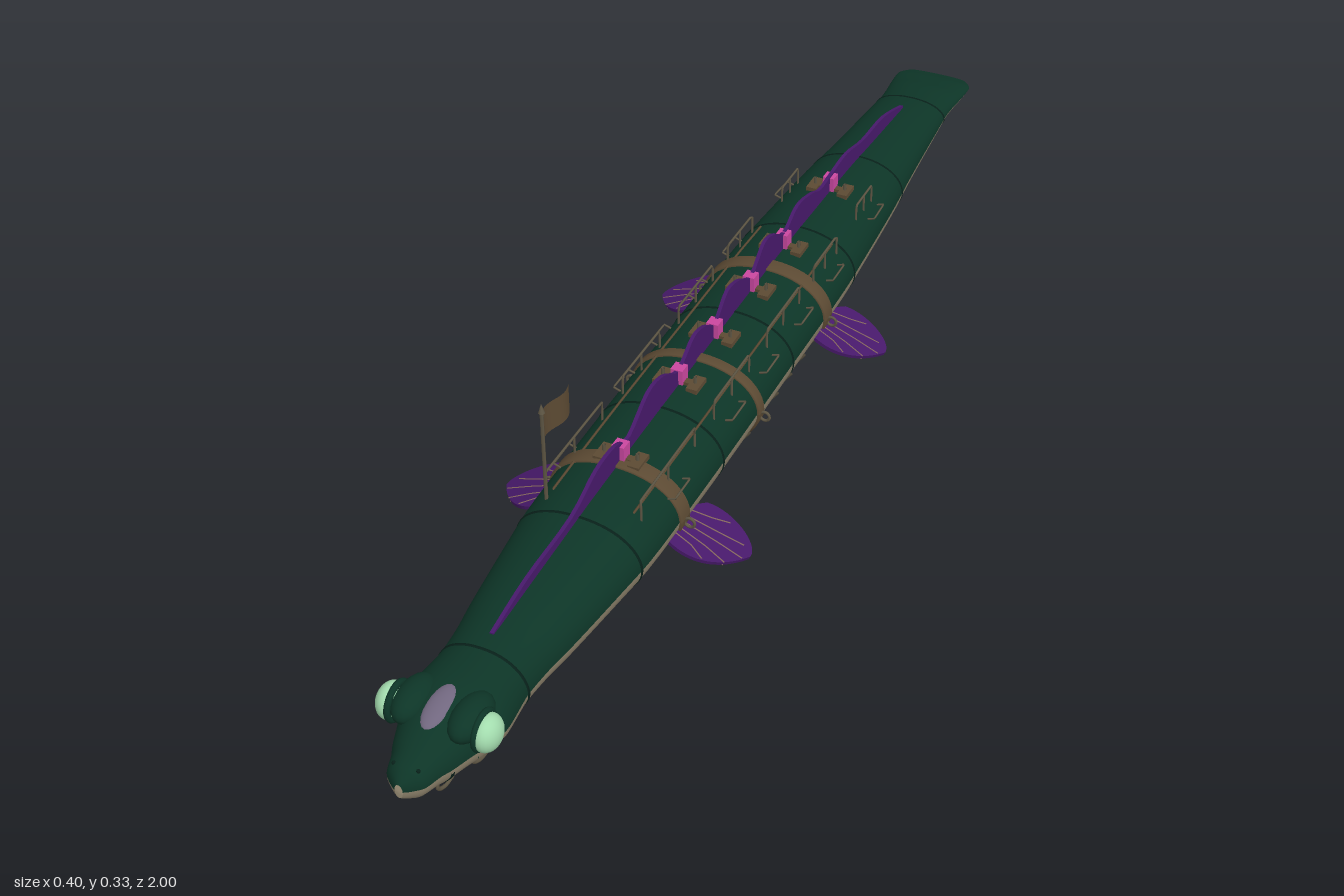
import * as THREE from 'three';

const mat = (name, color) => {
  const m = new THREE.MeshStandardMaterial({ color, side: THREE.DoubleSide });
  m.name = name;
  return m;
};
const M = {
  green: mat('deepGreen', 0x0d3527), belly: mat('bellyTan', 0x8a7f69), seam: mat('seamDark', 0x08211a),
  strap: mat('strapBrown', 0x5c4a33), metal: mat('agedMetal', 0x5e5644), purple: mat('finPurple', 0x47196a),
  pink: mat('pink', 0xc9479f), eye: mat('paleEye', 0xa3dcae), grey: mat('greyViolet', 0x71677f), ray: mat('rayTan', 0x8a6a62),
};
const V = (x, y, z) => new THREE.Vector3(x, y, z);

// Body stations: z, half width, top, bottom
const stations = [
  [1.0, 0.006, 0.118, 0.095], [0.985, 0.026, 0.132, 0.083], [0.95, 0.04, 0.143, 0.074], [0.9, 0.06, 0.16, 0.068],
  [0.85, 0.074, 0.166, 0.064], [0.78, 0.069, 0.163, 0.062], [0.7, 0.077, 0.164, 0.058], [0.5, 0.1, 0.173, 0.048],
  [0.3, 0.105, 0.177, 0.042], [0, 0.105, 0.178, 0.04], [-0.3, 0.103, 0.176, 0.044], [-0.58, 0.086, 0.162, 0.058],
  [-0.85, 0.067, 0.138, 0.082], [-0.93, 0.07, 0.127, 0.093], [-0.98, 0.071, 0.117, 0.102], [-1.0, 0.055, 0.111, 0.106],
];
const SPLIT = 0.107;
const sizeCurve = new THREE.CatmullRomCurve3(stations.map(s => V(s[1], s[2], s[3])), false, 'catmullrom');
const zCurve = new THREE.CatmullRomCurve3(stations.map(s => V(0, 0, s[0])), false, 'catmullrom', 0.3);

function sectionAt(z) {
  let a = 0, b = 1;
  for (let i = 0; i < 30; i++) {
    const m = (a + b) / 2;
    if (zCurve.getPoint(m).z > z) a = m; else b = m;
  }
  return sizeCurve.getPoint((a + b) / 2);
}
function skin(z, t, off = 0) {
  const s = sectionAt(z), c = Math.cos(t), n = Math.sin(t);
  const h = n >= 0 ? s.y - SPLIT : SPLIT - s.z;
  return V(Math.sign(c) * Math.abs(c) ** 0.9 * (s.x + off), SPLIT + n * (h + off), z);
}
// Lofts rings of [z, offset] over an angle range
function loft(rings, t0, t1, seg = 28) {
  const pos = [], idx = [], w = seg + 1;
  rings.forEach(([z, off], i) => {
    for (let j = 0; j <= seg; j++) {
      pos.push(...skin(z, t0 + (t1 - t0) * j / seg, off).toArray());
      if (i && j) {
        const d = i * w + j, c = d - 1, b = d - w, a = b - 1;
        idx.push(a, c, b, b, c, d);
      }
    }
  });
  const g = new THREE.BufferGeometry();
  g.setAttribute('position', new THREE.Float32BufferAttribute(pos, 3));
  g.setIndex(idx);
  g.computeVertexNormals();
  return g;
}

export function createModel() {
  const root = new THREE.Group();
  root.name = 'serpentVessel';
  const add = (name, geo, m, parent = root) => {
    const o = new THREE.Mesh(geo, m);
    o.name = name;
    parent.add(o);
    return o;
  };
  const rod = (name, pts, r, m = M.metal, parent = root) => {
    const path = new THREE.CurvePath();
    for (let i = 1; i < pts.length; i++) path.add(new THREE.LineCurve3(pts[i - 1], pts[i]));
    return add(name, new THREE.TubeGeometry(path, (pts.length - 1) * 6, r, 5), m, parent);
  };
  const box = (name, w, h, d, x, y, z, m) => add(name, new THREE.BoxGeometry(w, h, d), m).position.set(x, y, z);

  // Green back and tan belly
  const rings = [];
  for (let i = 0; i <= 90; i++) rings.push([zCurve.getPoint(i / 90).z, 0]);
  add('back', loft(rings, 0, Math.PI), M.green);
  add('belly', loft(rings, Math.PI, 2 * Math.PI), M.belly);

  // Plate seams and straps
  const band = (name, z, h, off, m, a = 0, b = 2 * Math.PI) =>
    add(name, loft([[z + h, -0.001], [z + h, off], [z - h, off], [z - h, -0.001]], a, b, 48), m);
  for (const z of [0.78, 0.5, 0.23, -0.04, -0.31, -0.58, -0.85]) band('seam', z, 0.002, 0.001, M.seam);
  for (const [z, h] of [[0.37, 0.014], [0.095, 0.009], [-0.18, 0.014]]) {
    band('strap', z, h, 0.004, M.strap);
    for (const s of [-1, 1])
      add('strapRing', new THREE.TorusGeometry(0.008, 0.0025, 6, 14), M.metal).position.set(s * 0.114, 0.1, z);
  }

  // Scalloped dorsal fin
  const crest = [[0.75, 0.165], [0.65, 0.181], [0.52, 0.186], [0.44, 0.212], [0.38, 0.213], [0.335, 0.198], [0.27, 0.232], [0.22, 0.229],
    [0.165, 0.202], [0.11, 0.228], [0.07, 0.222], [0.03, 0.202], [-0.015, 0.233], [-0.06, 0.226], [-0.11, 0.203], [-0.16, 0.235],
    [-0.2, 0.228], [-0.245, 0.204], [-0.3, 0.224], [-0.36, 0.213], [-0.4, 0.198], [-0.45, 0.2], [-0.52, 0.202], [-0.6, 0.185], [-0.7, 0.178], [-0.8, 0.148]];
  const crestShape = new THREE.Shape([new THREE.Vector2(0.75, 0.15)]
    .concat(new THREE.SplineCurve(crest.map(p => new THREE.Vector2(...p))).getPoints(100), new THREE.Vector2(-0.8, 0.13)));
  const crestGeo = new THREE.ExtrudeGeometry(crestShape, { depth: 0.006, bevelEnabled: false });
  add('dorsalFin', crestGeo.translate(0, 0, -0.003).rotateY(-Math.PI / 2), M.purple);

  // Side fins with rays
  const finShape = new THREE.Shape();
  finShape.moveTo(0, -0.05);
  finShape.bezierCurveTo(0.04, -0.065, 0.085, -0.05, 0.117, 0.01);
  finShape.bezierCurveTo(0.118, 0.04, 0.06, 0.07, 0.02, 0.055);
  finShape.lineTo(0, 0.03);
  const finGeo = new THREE.ExtrudeGeometry(finShape, { depth: 0.006, bevelEnabled: false, curveSegments: 16 });
  finGeo.translate(0, 0, -0.003).rotateX(-Math.PI / 2);
  for (const s of [-1, 1]) for (const z of [0.36, -0.19]) {
    const side = new THREE.Group(), fin = new THREE.Group();
    side.name = 'sideFin';
    side.scale.x = s;
    fin.position.set(0.093, 0.093, z);
    fin.rotation.z = -0.4;
    side.add(fin);
    root.add(side);
    add('finBlade', finGeo, M.purple, fin);
    for (const y of [-0.003, 0.003]) for (let k = 0; k < 5; k++) {
      const e = [[0.06, 0.046], [0.09, 0.028], [0.108, 0.002], [0.1, -0.022], [0.065, -0.045]][k];
      rod('finRay', [V(0, y, 0.03 - k * 0.013), V(e[0] * 0.6, y, e[1] * 0.75), V(e[0], y, e[1])], 0.0012, M.ray, fin);
    }
  }

  // Saddles along the spine with pink blocks
  for (const z of [0.36, 0.16, 0.03, -0.11, -0.245, -0.45]) {
    const y = sectionAt(z).y;
    box('spineBlock', 0.02, 0.026, 0.02, 0, y + 0.014, z, M.pink);
    box('saddleBar', 0.06, 0.006, 0.012, 0, y + 0.002, z, M.strap);
    for (const s of [-1, 1]) {
      box('saddlePad', 0.018, 0.008, 0.036, s * 0.028, y + 0.001, z, M.strap);
      rod('saddlePeg', [V(s * 0.027, y, z), V(s * 0.027, y + 0.016, z)], 0.003, M.metal);
      // Grab handle on the flank
      const a = skin(z + 0.025, 0.62), b = skin(z - 0.025, 0.62), out = V(s * 0.012, 0.004, 0);
      a.x *= s; b.x *= s;
      rod('grabHandle', [a, a.clone().add(out), b.clone().add(out), b], 0.0017, M.metal);
    }
  }

  // Deck railings and side ropes
  for (const s of [-1, 1]) {
    for (const [z0, z1] of [[0.45, 0.27], [0.2, 0.07], [0.0, -0.13], [-0.19, -0.29], [-0.4, -0.47]]) {
      const x = s * (z1 < -0.35 ? 0.068 : 0.076), y = z1 < -0.35 ? 0.183 : 0.19, zm = (z0 + z1) / 2;
      rod('railing', [V(x, 0.145, z0), V(x, y, z0), V(x, y, z1), V(x, 0.145, z1)], 0.002);
      rod('railPost', [V(x, 0.145, zm), V(x, y, zm)], 0.002);
    }
    const rope = [];
    for (let z = 0.45; z > -0.32; z -= 0.075) rope.push(skin(z, s > 0 ? 0.95 : Math.PI - 0.95, 0.002));
    rod('deckRope', rope, 0.002, M.strap);
  }

  // Hanging cage below the belly
  const rib = [[-0.104, 0.09], [-0.075, 0.052], [-0.045, 0.031], [-0.02, 0.023], [0.02, 0.023], [0.045, 0.031], [0.075, 0.052], [0.104, 0.09]];
  for (let i = 0; i < 7; i++) rod('cageRib', rib.map(p => V(p[0], p[1], 0.13 - i * 0.055)), 0.0025);
  for (const p of rib.slice(1, 7)) rod('cageBar', [V(p[0], p[1], 0.13), V(p[0], p[1], -0.2)], 0.002);
  box('keelBlock', 0.02, 0.022, 0.02, 0, 0.011, 0.1, M.pink);

  // Flag on its pole
  rod('flagPole', [V(-0.065, 0.15, 0.47), V(-0.065, 0.318, 0.47)], 0.003);
  add('poleTip', new THREE.ConeGeometry(0.005, 0.016, 8), M.metal).position.set(-0.065, 0.324, 0.47);
  const flag = new THREE.PlaneGeometry(0.08, 0.05, 12, 2).rotateY(-Math.PI / 2);
  const fp = flag.attributes.position;
  for (let i = 0; i < fp.count; i++) fp.setX(i, 0.005 * Math.sin((fp.getZ(i) - 0.04) * 75));
  flag.computeVertexNormals();
  add('flag', flag, M.strap).position.set(-0.066, 0.286, 0.43);

  // Head: eyes, sockets, brow, fringe and jaw hooks
  for (const s of [-1, 1]) {
    const eye = add('eye', new THREE.SphereGeometry(1, 24, 16), M.eye);
    eye.position.set(s * 0.071, 0.141, 0.892);
    eye.scale.set(0.02, 0.027, 0.027);
    const socket = add('eyeSocket', new THREE.TorusGeometry(0.026, 0.005, 8, 24), M.green);
    socket.position.set(s * 0.064, 0.141, 0.89);
    socket.rotation.y = Math.PI / 2;
    const brow = add('brow', new THREE.SphereGeometry(1, 20, 12), M.green);
    brow.position.set(s * 0.042, 0.147, 0.882);
    brow.scale.set(0.026, 0.024, 0.045);
    for (let k = 0; k < 5; k++) {
      const spike = add('cheekSpike', new THREE.ConeGeometry(0.004, 0.018, 5), M.green);
      spike.position.set(s * (0.056 + k * 0.003), 0.104, 0.9 - k * 0.011);
      spike.rotation.z = Math.PI + s * 0.4;
    }
    for (const [x, z] of [[0.018, 0.935], [0.036, 0.875]]) {
      const hook = new THREE.CatmullRomCurve3([V(s * x, 0.08, z), V(s * x, 0.06, z + 0.004), V(s * x * 1.05, 0.05, z - 0.012), V(s * x * 1.1, 0.051, z - 0.03)]);
      add('jawHook', new THREE.TubeGeometry(hook, 14, 0.0028, 6), M.metal);
    }
    add('nostril', new THREE.SphereGeometry(0.003, 8, 6), M.seam).position.set(s * 0.018, 0.13, 0.978);
  }
  const plate = add('foreheadPlate', new THREE.SphereGeometry(1, 20, 12), M.grey);
  plate.position.set(0, 0.157, 0.892);
  plate.scale.set(0.018, 0.008, 0.038);
  plate.rotation.x = 0.2;
  // Lip line
  band('lip', 0.94, 0.002, 0.001, M.seam, Math.PI * 1.05, Math.PI * 1.95);
  return root;
}
